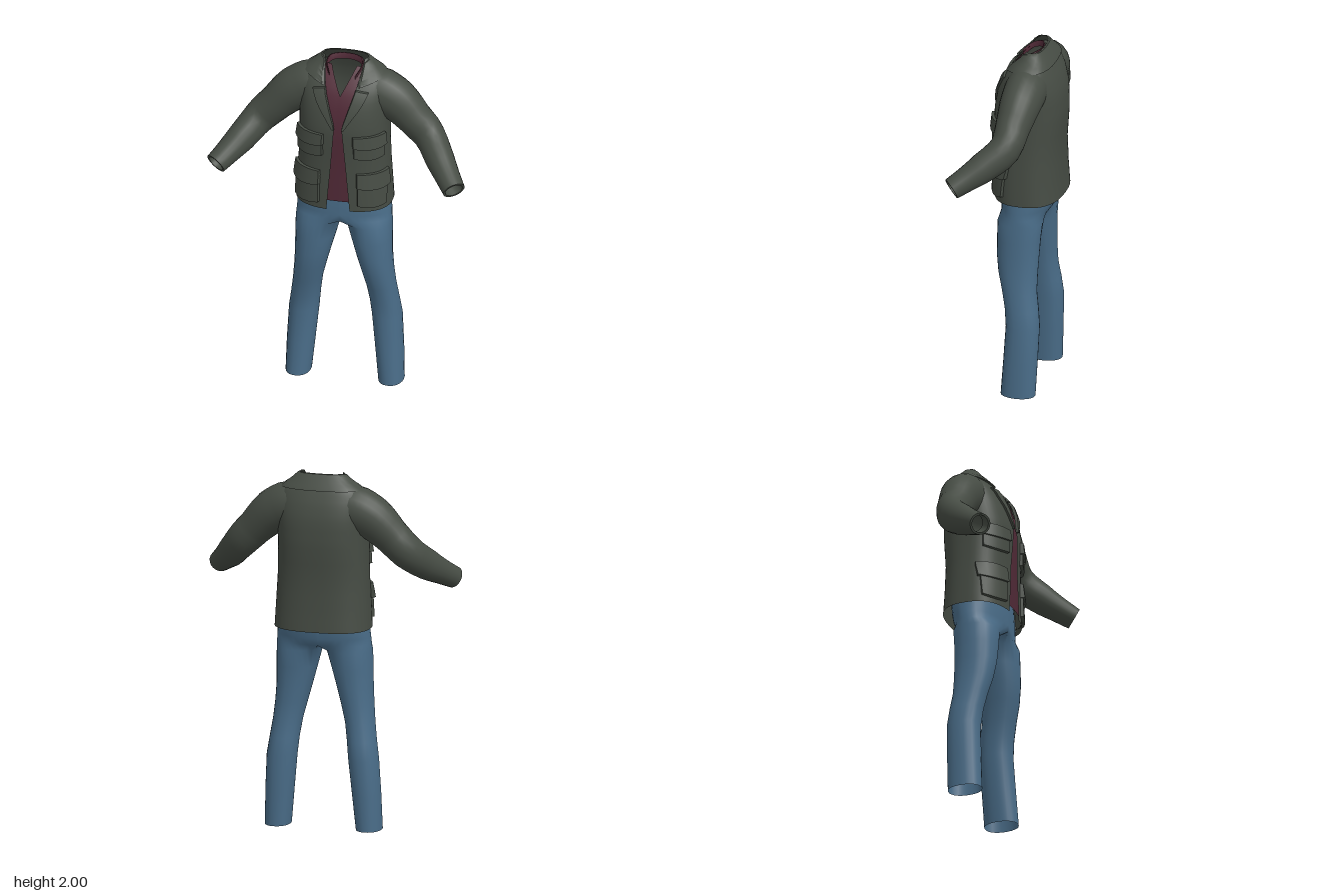
import * as THREE from 'three';
import { toCreasedNormals } from 'three/addons/utils/BufferGeometryUtils.js';

const material = (name, color) => {
  const m = new THREE.MeshStandardMaterial({ color, side: THREE.DoubleSide });
  m.name = name;
  return m;
};
const V = (x, y, z) => new THREE.Vector3(x, y, z);
const lerp = THREE.MathUtils.lerp;
const spow = (v, p) => Math.sign(v) * Math.pow(Math.abs(v), p);

// Row of a keyframe table at height or parameter k (first column ascending)
function sample(table, k) {
  if (k <= table[0][0]) return table[0];
  for (let i = 1; i < table.length; i++) {
    const a = table[i - 1], b = table[i];
    if (k <= b[0]) return a.map((v, j) => lerp(v, b[j], (k - a[0]) / (b[0] - a[0])));
  }
  return table[table.length - 1];
}

// Skin over rows of points; closed joins the ends of each row
function skin(rows, closed = false, keep = () => true) {
  const n = rows[0].length, index = [];
  for (let r = 0; r < rows.length - 1; r++) {
    for (let c = 0; c < (closed ? n : n - 1); c++) {
      if (!keep(r, c)) continue;
      const d = (c + 1) % n, a = r * n, b = a + n;
      index.push(a + c, a + d, b + c, a + d, b + d, b + c);
    }
  }
  const g = new THREE.BufferGeometry().setFromPoints(rows.flat());
  g.setIndex(index);
  g.computeVertexNormals();
  return g;
}

// Jacket body sections: y, half width, back z, front z, half gap of the front opening
const BODY = [
  [1.13, 0.268, -0.25, 0.13, 0.065], [1.25, 0.262, -0.242, 0.13, 0.055],
  [1.42, 0.252, -0.237, 0.128, 0.04], [1.6, 0.248, -0.25, 0.135, 0.025],
  [1.65, 0.248, -0.25, 0.133, 0.02], [1.75, 0.25, -0.245, 0.115, 0.05],
  [1.83, 0.25, -0.225, 0.085, 0.075], [1.89, 0.238, -0.2, 0.045, 0.092],
  [1.93, 0.205, -0.18, 0.01, 0.1], [1.96, 0.165, -0.162, -0.018, 0.105],
  [2.0, 0.125, -0.135, -0.04, 0.11],
];
const POWER = 2.5;

// Point on the body at angle a (0 = front, PI = back), pushed outward by off
function surf(a, y, off = 0) {
  const [, hw, zb, zf] = sample(BODY, y);
  const d = (zf - zb) / 2, zc = (zf + zb) / 2;
  const x = hw * spow(Math.sin(a), 2 / POWER), z = d * spow(Math.cos(a), 2 / POWER);
  const n = V(x / hw ** 2, 0, z / d ** 2).normalize();
  return V(x + n.x * off, y, zc + z + n.z * off);
}
const angleAt = (x, y) => Math.asin(Math.pow(Math.min(0.98, x / sample(BODY, y)[1]), POWER / 2));
const gapAngle = (y) => angleAt(sample(BODY, y)[4], y);

// Raised panel lying on the body; f(u, v) gives [angle, y]
const STEPS = [0, 0.015, 0.15, 0.3, 0.5, 0.7, 0.85, 0.985, 1];
function panel(f, side, off, steps = STEPS) {
  const rows = STEPS.map((v) => steps.map((u) => {
    const rim = u === 0 || u === 1 || v === 0 || v === 1;
    const [a, y] = f(u, v);
    const p = surf(a, y, rim ? -0.004 : typeof off === 'function' ? off(u, v) : off);
    p.x *= side;
    return p;
  }));
  return toCreasedNormals(skin(rows), 0.7);
}

// Trouser rings: y, inner x, outer x, back z, front z, wrap angle of the outer half
const LEG = [
  [0, 0.19, 0.33, -0.152, 0.042, 0.9], [0.2, 0.17, 0.325, -0.16, 0.03, 0.9],
  [0.4, 0.15, 0.315, -0.167, 0.02, 0.9], [0.5, 0.14, 0.3, -0.157, 0.03, 0.9],
  [0.6, 0.125, 0.286, -0.143, 0.05, 0.9], [0.7, 0.1, 0.276, -0.143, 0.075, 0.9],
  [0.8, 0.073, 0.27, -0.146, 0.088, 0.9], [0.9, 0.045, 0.27, -0.15, 0.09, 0.9],
  [1.0, 0.017, 0.268, -0.16, 0.09, 0.8], [1.04, -0.266, 0.266, -0.175, 0.092, 0],
  [1.08, -0.263, 0.263, -0.19, 0.093, 0], [1.14, -0.258, 0.258, -0.202, 0.094, 0],
  [1.22, -0.25, 0.25, -0.205, 0.09, 0],
];
function trouserHalf(side) {
  const M = 18, N = 30;
  const rows = LEG.map(([y, xi, xo, zb, zf, s]) => Array.from({ length: N }, (_, k) => {
    const a = k <= M ? lerp(-s, Math.PI + s, k / M)
      : lerp(Math.PI + s, 2 * Math.PI - s, (k - M) / (N - M));
    const x = Math.max(0, (xi + xo) / 2 + (xo - xi) / 2 * spow(Math.sin(a), 0.91));
    return V(x * side, y, (zf + zb) / 2 + (zf - zb) / 2 * spow(Math.cos(a), 0.91));
  }));
  return skin(rows, true, (r, c) => r < 9 || c < M);
}

// Sleeve with a bent elbow, ending in a turned-in cuff
const SLEEVE = new THREE.CatmullRomCurve3([
  V(0.13, 1.815, -0.08), V(0.205, 1.798, -0.078), V(0.29, 1.752, -0.072), V(0.385, 1.662, -0.06),
  V(0.475, 1.57, -0.042), V(0.555, 1.485, 0.055), V(0.615, 1.43, 0.135), V(0.668, 1.385, 0.205),
]);
const SLEEVE_R = [
  [0, 0.125, 0.115], [1 / 7, 0.13, 0.118], [2 / 7, 0.122, 0.112], [3 / 7, 0.102, 0.096],
  [4 / 7, 0.095, 0.085], [5 / 7, 0.086, 0.08], [6 / 7, 0.07, 0.07], [1, 0.06, 0.063],
];
function sleeve(side) {
  const ring = (t, k) => {
    const c = SLEEVE.getPoint(t), d = SLEEVE.getTangent(t);
    const [, up, deep] = sample(SLEEVE_R, t);
    const b = d.clone().cross(V(0, 1, 0)).normalize(), n = b.clone().cross(d);
    return Array.from({ length: 20 }, (_, i) => {
      const a = i / 20 * Math.PI * 2;
      const p = c.clone().addScaledVector(n, Math.cos(a) * up * k).addScaledVector(b, Math.sin(a) * deep * k);
      p.x *= side;
      return p;
    });
  };
  const rows = Array.from({ length: 22 }, (_, i) => ring(i / 21, 1));
  rows.push(ring(1, 0.8), ring(0.9, 0.72));
  return toCreasedNormals(skin(rows, true), 0.9);
}

// Half of the shirt front, open in a V at the neck
function shirtHalf(side) {
  const ys = [1.18, 1.3, 1.42, 1.55, 1.65, 1.75, 1.82, 1.86, 1.9, 1.93, 1.96];
  return skin(ys.map((y) => Array.from({ length: 8 }, (_, i) => {
    const inner = Math.max(0, (y - 1.82) * 0.52);
    const p = surf(angleAt(lerp(inner, 0.135, i / 7), y), y, -0.014);
    p.x *= side;
    return p;
  })));
}

// Shirt collar running round the back of the neck
function shirtCollar() {
  const half = [[0.075, 1.925, 0.012], [0.1, 1.965, -0.04], [0.085, 1.985, -0.09]];
  const path = new THREE.CatmullRomCurve3([
    ...half.map((p) => V(-p[0], p[1], p[2])), V(0, 1.988, -0.12),
    ...half.reverse().map((p) => V(...p)),
  ]).getPoints(28);
  const row = (k, dy, dz) => path.map((p) => V(p.x * k, p.y + dy, p.z + dz));
  return skin([row(1.1, -0.03, -0.008), row(1.04, 0, -0.004), row(0.95, 0, 0.004), row(0.95, -0.035, 0.004)]);
}

export function createModel() {
  const model = new THREE.Group();
  const cloth = material('dark olive cloth', 0x464c44);
  const denim = material('blue denim', 0x4a6d89);
  const red = material('dark red knit', 0x512a37);
  const add = (name, geometry, mat) => {
    const mesh = new THREE.Mesh(geometry, mat);
    mesh.name = name;
    model.add(mesh);
  };

  // Jacket body, open down the front
  const heights = [...BODY.map((b) => b[0]), 1.19, 1.33, 1.51, 1.7, 1.79, 1.86, 1.91, 1.945, 1.98].sort();
  add('jacketBody', skin(heights.map((y) => Array.from({ length: 49 }, (_, i) => {
    const g = gapAngle(y);
    return surf(lerp(g, 2 * Math.PI - g, i / 48), y);
  }))), cloth);

  // Collar folded over the neck, lower towards the front
  const around = [0, 0.01, ...Array.from({ length: 19 }, (_, i) => (i + 1) / 20), 0.99, 1];
  add('jacketCollar', panel((u, v) => {
    const t = Math.abs(u * 2 - 1);
    const bottom = 1.915 - 0.045 * t ** 6, top = 2.0 - 0.02 * t ** 6;
    const y = lerp(bottom, top, v);
    const g = gapAngle(y);
    return [lerp(g, 2 * Math.PI - g, u), y];
  }, 1, (u, v) => 0.013 - 0.006 * v, around), cloth);

  const lapelEdge = [[1.64, 0.03], [1.7, 0.068], [1.78, 0.122], [1.86, 0.158]];
  for (const side of [1, -1]) {
    const label = side > 0 ? 'left' : 'right';
    add(label + 'Sleeve', sleeve(side), cloth);
    add(label + 'TrouserLeg', trouserHalf(side), denim);
    add(label + 'ShirtFront', shirtHalf(side), red);

    // Lapel from the fold line to a pointed outer edge
    add(label + 'Lapel', panel((u, v) => {
      const y = lerp(1.64, 1.865, v) - 0.012 * u * v;
      const x = lerp(sample(BODY, y)[4], sample(lapelEdge, y)[1], u);
      return [angleAt(x, y), y];
    }, side, 0.012), cloth);

    // Patch pockets with flaps: inner x, outer x, bottom, flap bottom, top
    for (const [name, x0, x1, y0, yf, y1] of [
      ['ChestPocket', 0.085, 0.232, 1.47, 1.54, 1.605],
      ['HipPocket', 0.105, 0.246, 1.17, 1.285, 1.37],
    ]) {
      const area = (grow, bottom, top) => (u, v) => {
        const sag = 0.012 * (1 - (2 * u - 1) ** 2) * (1 - v);
        const y = lerp(bottom, top, v) - sag;
        return [lerp(angleAt(x0 - grow, y), angleAt(x1 + grow, y), u), y];
      };
      add(label + name, panel(area(0, y0, y1 - 0.01), side, (u, v) => 0.012 + 0.006 * (1 - v)), cloth);
      add(label + name + 'Flap', panel(area(0.005, yf, y1), side, (u, v) => 0.016 + 0.01 * (1 - v)), cloth);
    }
  }
  add('shirtCollar', shirtCollar(), red);
  return model;
}
